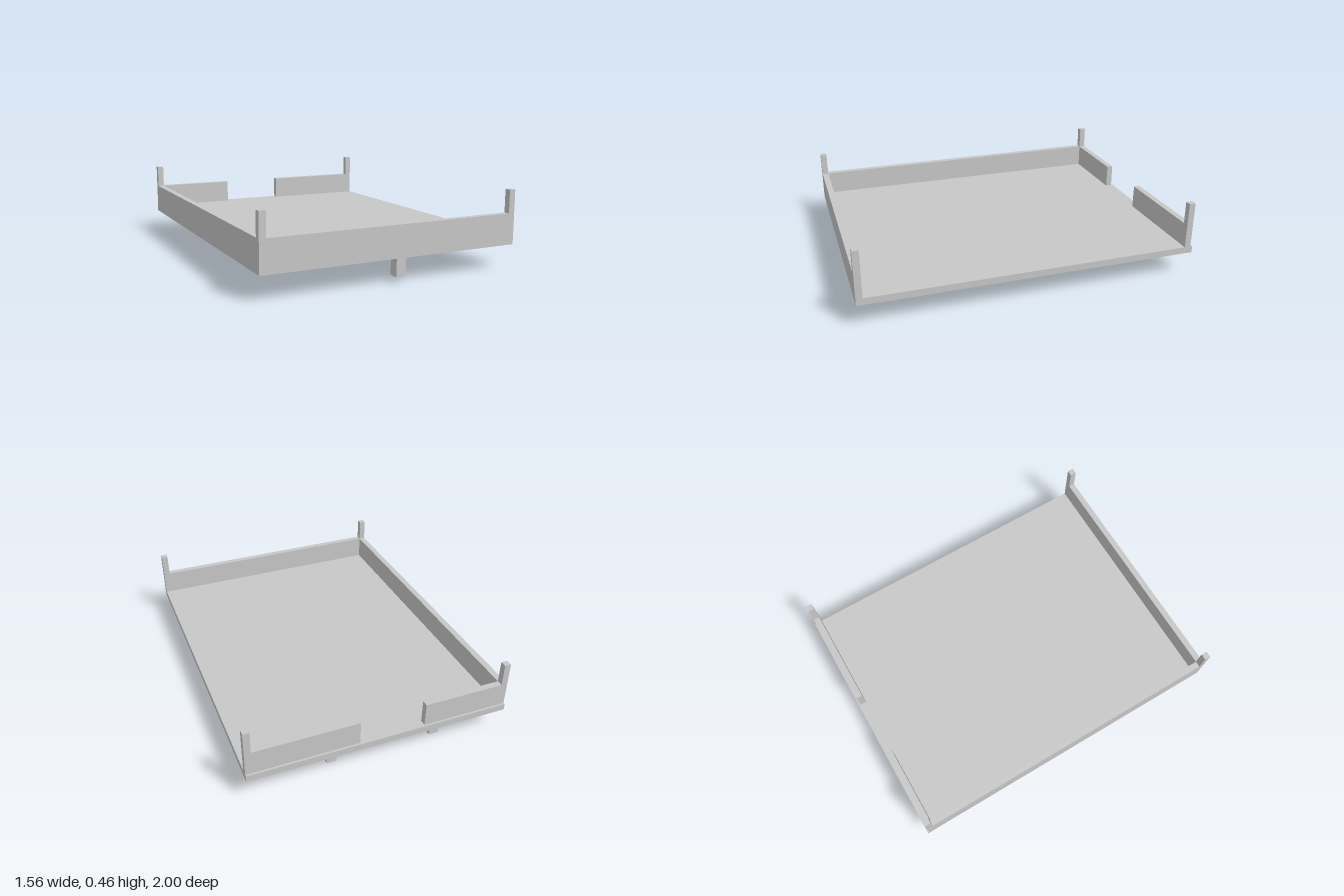
import * as THREE from 'three';

export function createModel() {
  const model = new THREE.Group();
  model.name = 'tray';
  const grey = new THREE.MeshStandardMaterial({ color: 0xc7c7c7 });
  grey.name = 'light grey';

  // Box given by its lower and upper limits on each axis
  const block = (name, [x0, x1], [y0, y1], [z0, z1]) => {
    const mesh = new THREE.Mesh(new THREE.BoxGeometry(x1 - x0, y1 - y0, z1 - z0), grey);
    mesh.position.set((x0 + x1) / 2, (y0 + y1) / 2, (z0 + z1) / 2);
    mesh.name = name;
    model.add(mesh);
  };

  const W = 0.782, T = 0.038;                         // half width, wall thickness
  const under = 0.141, floor = 0.181, rim = 0.324, top = 0.46;
  const front = [1 - T, 1], back = [-0.988, -0.95];

  // Floor slab
  block('floor', [-W, W], [under, floor], [-1, 1]);

  // Walls: full front, full right side, back with an opening; left side open
  block('frontWall', [-W, W], [floor, rim], front);
  block('sideWall', [-W, -W + T], [floor, rim], [back[1], front[0]]);
  block('backWallRight', [-W, -0.262], [floor, rim], back);
  block('backWallLeft', [0.132, W], [floor, rim], back);

  // Corner posts rising above the walls
  for (const x of [[-W, -W + T], [W - T, W]]) {
    block('frontPost', x, [rim, top], front);
    block('backPost', x, [rim, top], back);
  }

  // Tall feet under the back half
  block('tallFoot', [0.23, 0.29], [0, under], [-0.896, -0.837]);
  block('tallFoot', [-0.42, -0.358], [0, under], [-0.896, -0.837]);
  block('tallFoot', [0.23, 0.29], [0, under], [-0.243, -0.184]);

  // Short feet along the middle
  block('shortFoot', [0.013, 0.073], [0.032, under], [-0.099, -0.048]);
  block('shortFoot', [0.013, 0.073], [0.032, under], [0.917, 0.976]);

  return model;
}
